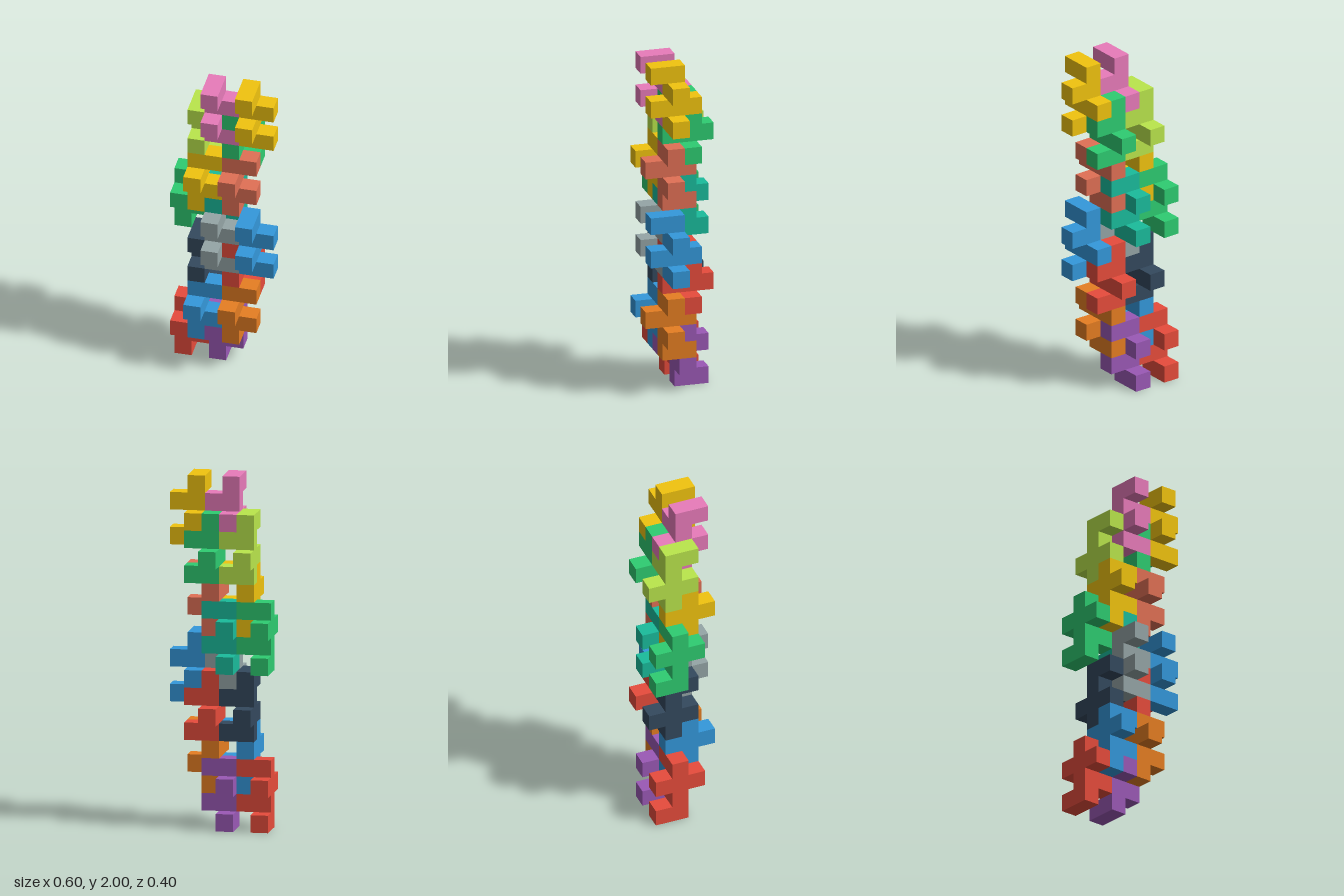
import * as THREE from 'three';
import { mergeGeometries } from 'three/addons/utils/BufferGeometryUtils.js';

const U = 0.1; // edge of one cube

// One puzzle piece: a four-cube column with arms, centred on its column
function pieceGeometry() {
  const column = new THREE.BoxGeometry(U, 4 * U, U);
  const arms = [
    [1, 0, 0],  // side arms
    [1, 2, 0],
    [0, 1, 1],  // cross arms
    [0, 1, -1],
    [0, 3, 1],  // end arm
  ].map(([x, y, z]) =>
    new THREE.BoxGeometry(U, U, U).translate(x * U, (y - 1.5) * U, z * U));
  return mergeGeometries([column, ...arms]);
}

// Column cell (x, z), lowest layer, flipped end for end, colours in each tier
const PIECES = [
  ['backRight', -3, -1, 0, true, [0xe74c3c, 0x2ecc71]],
  ['backLeft', -1, -1, 0, true, [0x9b59b6, 0x1abc9c]],
  ['frontRight', -2, 0, 2, true, [0x3498db, 0xf1c40f]],
  ['frontLeft', 0, 0, 2, true, [0xe67e22, 0xe17055]],
  ['upperBackRight', -2, -1, 5, false, [0x34495e, 0xbae64c]],
  ['upperBackLeft', 0, -1, 5, false, [0xe74c3c, 0x2ecc71]],
  ['upperFrontRight', -1, 0, 7, false, [0x95a5a6, 0xe87bba]],
  ['upperFrontLeft', 1, 0, 7, false, [0x3498db, 0xf1c40f]],
];

export function createModel() {
  const model = new THREE.Group();
  model.name = 'interlockingTower';
  const geometry = pieceGeometry();

  // The same eight pieces repeat nine layers higher
  for (let tier = 0; tier < 2; tier++) {
    const group = new THREE.Group();
    group.name = tier ? 'upperTier' : 'lowerTier';
    group.position.y = tier * 9 * U;
    for (const [name, x, z, y, flipped, colors] of PIECES) {
      const material = new THREE.MeshStandardMaterial({ color: colors[tier] });
      const mesh = new THREE.Mesh(geometry, material);
      mesh.name = name + 'Piece';
      mesh.position.set((x + 0.5) * U, (y + 2) * U, (z + 0.5) * U);
      if (flipped) mesh.rotation.x = Math.PI;
      group.add(mesh);
    }
    model.add(group);
  }
  return model;
}
